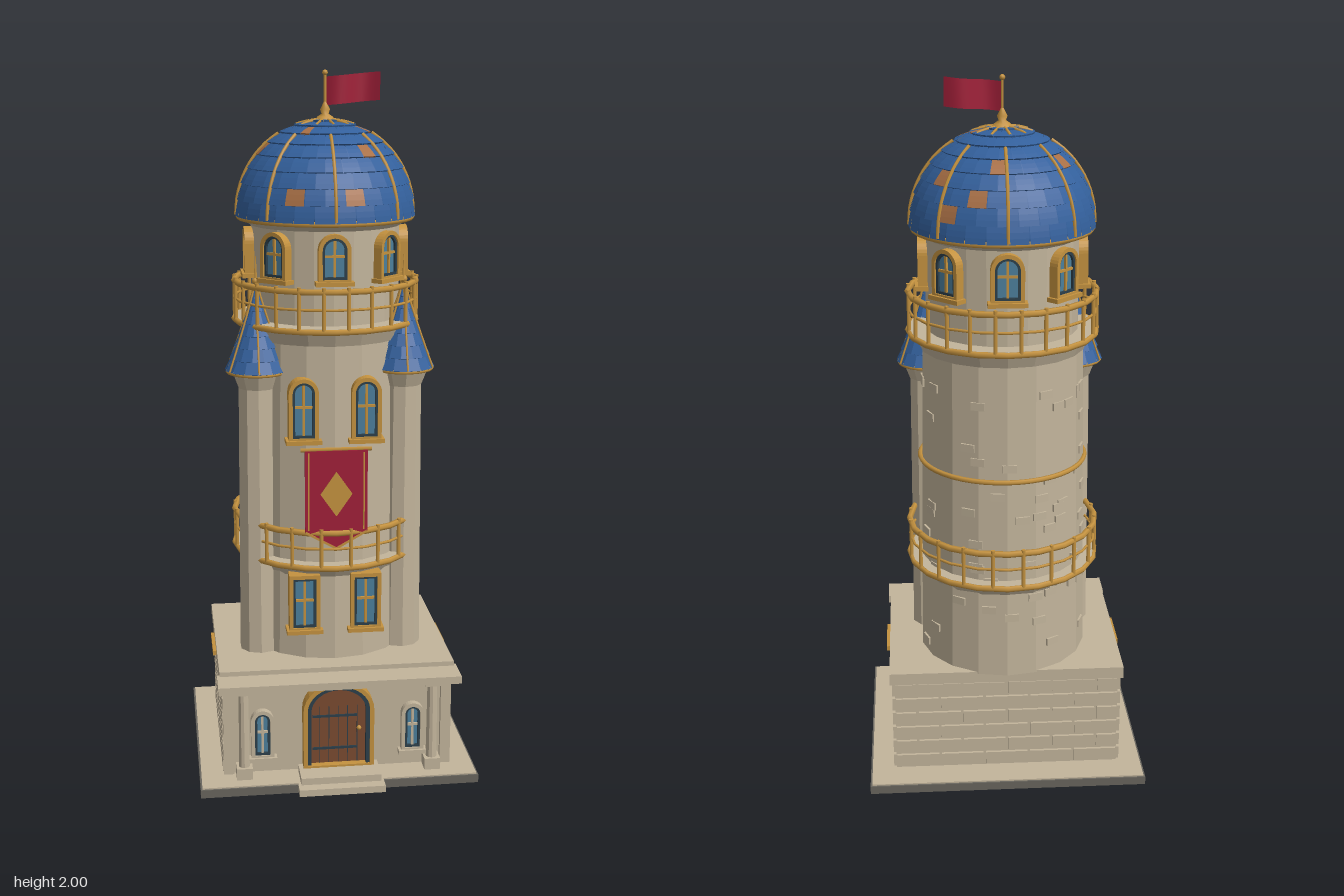
import * as THREE from 'three';
import { mergeGeometries } from 'three/addons/utils/BufferGeometryUtils.js';

const mat = (name, color, extra = {}) => Object.assign(new THREE.MeshStandardMaterial({ color, ...extra }), { name });
const CZ = -0.06; // tower axis

export function createModel() {
  const stone = mat('stone', 0xc2b49b, { flatShading: true });
  const plinthGrey = mat('plinth grey', 0x68655d);
  const blue = mat('roof blue', 0x33609c);
  const copper = mat('copper tile', 0xa86f45);
  const gold = mat('gold', 0xc4923f);
  const red = mat('banner red', 0xa01f38, { side: THREE.DoubleSide });
  const glass = mat('window glass', 0x4c7f9c);
  const dark = mat('dark frame', 0x2c3f4a);
  const wood = mat('door wood', 0x7a4a30);

  const model = new THREE.Group();
  model.name = 'tower';
  const add = (parent, name, geo, material, x = 0, y = 0, z = 0) => {
    const m = new THREE.Mesh(geo, material);
    m.name = name;
    m.position.set(x, y, z);
    parent.add(m);
    return m;
  };
  const box = (p, name, m, w, h, d, x, y, z) => add(p, name, new THREE.BoxGeometry(w, h, d), m, x, y, z);
  const cyl = (p, name, m, rTop, rBot, y0, y1, n, x = 0, z = CZ) =>
    add(p, name, new THREE.CylinderGeometry(rTop, rBot, y1 - y0, n), m, x, (y0 + y1) / 2, z);
  const ring = (p, name, r, tube, y, n = 24, arc = Math.PI * 2, start = 0) => {
    const g = new THREE.TorusGeometry(r, tube, 6, n, arc).rotateX(-Math.PI / 2).rotateY(start);
    return add(p, name, g, gold, 0, y, CZ);
  };
  const rod = (p, name, pts, r, m) =>
    add(p, name, new THREE.TubeGeometry(new THREE.CatmullRomCurve3(pts), 12, r, 5), m);
  let seed = 7;
  const rand = () => (seed = (seed * 16807) % 2147483647) / 2147483647;

  // Arched outline standing on y = 0; k is the rise of the arch
  const arch = (T, w, h, k, y0 = 0) => {
    const s = new T();
    s.moveTo(-w / 2, y0);
    s.lineTo(w / 2, y0);
    s.lineTo(w / 2, h - k);
    if (k > 0) s.absellipse(0, h - k, w / 2, k, 0, Math.PI, false);
    else s.lineTo(-w / 2, h);
    s.closePath();
    return s;
  };
  const extrude = (s, depth) => new THREE.ExtrudeGeometry(s, { depth, bevelEnabled: false, curveSegments: 8 });
  const frameGeo = (w, h, k, b, depth) => {
    const s = arch(THREE.Shape, w, h, k);
    s.holes.push(arch(THREE.Path, w - 2 * b, h - b, Math.max(0, k - b), b));
    return extrude(s, depth);
  };

  // Window: gold surround, dark inner frame, glass, glazing bars and sill
  const makeWindow = (name, w, h, k, x, y, z, turn = 0, surround = gold) => {
    const g = new THREE.Group();
    g.name = name;
    g.position.set(x, y, z);
    g.rotation.y = turn;
    add(g, 'surround', frameGeo(w, h, k, 0.011, 0.045), surround, 0, 0, -0.025);
    add(g, 'innerFrame', frameGeo(w - 0.02, h - 0.02, Math.max(0, k - 0.01), 0.008, 0.035), dark, 0, 0.01, -0.02);
    add(g, 'pane', extrude(arch(THREE.Shape, w - 0.03, h - 0.03, Math.max(0, k - 0.015)), 0.03), glass, 0, 0.015, -0.022);
    box(g, 'verticalBar', surround, 0.007, h - 0.03, 0.006, 0, h / 2, 0.011);
    box(g, 'crossBar', surround, w - 0.03, 0.007, 0.006, 0, h * 0.55, 0.011);
    box(g, 'sill', surround, w + 0.016, 0.012, 0.055, 0, 0, 0);
    model.add(g);
  };

  // Ground slab, steps and brick base
  box(model, 'slab', plinthGrey, 0.8, 0.024, 0.69, 0, 0.012, -0.02);
  box(model, 'paving', stone, 0.79, 0.006, 0.68, 0, 0.025, -0.02);
  box(model, 'lowerStep', stone, 0.246, 0.02, 0.12, 0, 0.018, 0.305);
  box(model, 'upperStep', stone, 0.23, 0.024, 0.09, 0, 0.036, 0.29);
  box(model, 'base', stone, 0.648, 0.29, 0.51, 0, 0.173, -0.019);
  const bricks = [];
  const rowH = 0.28 / 6;
  const brickRow = (len, place) => {
    for (let r = 0; r < 6; r++) {
      const step = len / 5;
      for (let i = 0; i <= 5; i++) {
        const a = Math.max(-len / 2, -len / 2 + (i - (r % 2) / 2) * step);
        const b = Math.min(len / 2, -len / 2 + (i + 1 - (r % 2) / 2) * step);
        if (b - a < 0.01) continue;
        bricks.push(place(new THREE.BoxGeometry(b - a - 0.008, rowH - 0.008, 0.016)
          .translate((a + b) / 2, 0.03 + (r + 0.5) * rowH, 0)));
      }
    }
  };
  for (const s of [-1, 1]) brickRow(0.52, g => g.rotateY(s * Math.PI / 2).translate(s * 0.324, 0, -0.02));
  brickRow(0.65, g => g.rotateY(Math.PI).translate(0, 0, -0.274));
  add(model, 'bricks', mergeGeometries(bricks), stone);
  box(model, 'baseRoof', stone, 0.676, 0.035, 0.532, 0, 0.328, -0.021);
  box(model, 'porchCornice', stone, 0.69, 0.022, 0.09, 0, 0.321, 0.277);
  for (const s of [-1, 1]) {
    box(model, 'sideTrim', gold, 0.014, 0.014, 0.14, s * 0.341, 0.322, -0.02);
    // Porch columns and windows
    cyl(model, 'porchColumn', stone, 0.014, 0.016, 0.06, 0.29, 10, s * 0.272, 0.262);
    box(model, 'columnFoot', stone, 0.046, 0.034, 0.046, s * 0.272, 0.045, 0.262);
    box(model, 'columnHead', stone, 0.046, 0.022, 0.046, s * 0.272, 0.299, 0.262);
    box(model, 'cornerPier', stone, 0.03, 0.28, 0.02, s * 0.315, 0.17, 0.24);
    makeWindow('porchWindow', 0.066, 0.15, 0.033, s * 0.218, 0.075, 0.237, 0, stone);
  }

  // Door
  add(model, 'doorSurround', frameGeo(0.204, 0.266, 0.085, 0.012, 0.05), gold, 0, 0.042, 0.225);
  add(model, 'doorFrame', frameGeo(0.182, 0.255, 0.077, 0.012, 0.045), dark, 0, 0.042, 0.225);
  add(model, 'door', extrude(arch(THREE.Shape, 0.164, 0.243, 0.068), 0.03), wood, 0, 0.044, 0.225);
  for (const x of [-0.055, -0.027, 0, 0.027, 0.055]) box(model, 'plankSeam', dark, 0.002, 0.18, 0.002, x, 0.14, 0.2552);
  for (const y of [0.1, 0.2]) box(model, 'hinge', dark, 0.13, 0.007, 0.004, -0.01, y, 0.256);
  add(model, 'doorKnob', new THREE.SphereGeometry(0.007, 8, 6), gold, 0.06, 0.16, 0.259);

  // Tower shaft with raised stones
  cyl(model, 'shaft', stone, 0.226, 0.243, 0.34, 1.3, 18);
  const stones = [];
  for (let i = 0; i < 60; i++) {
    const a = 1.7 + rand() * 2.9, y = 0.38 + rand() * 0.86;
    const r = 0.243 - (y - 0.34) * 0.0177 - 0.004;
    stones.push(new THREE.BoxGeometry(0.04, 0.022, 0.012).translate(0, y, r).rotateY(a));
  }
  add(model, 'raisedStones', mergeGeometries(stones), stone, 0, 0, CZ);
  ring(model, 'beltRing', 0.236, 0.007, 0.935, 28, Math.PI * 1.2, -Math.PI * 1.1 + Math.PI);

  // Balconies
  const balcony = (name, y, r, h, n) => {
    const g = new THREE.Group();
    g.name = name;
    model.add(g);
    cyl(g, 'corbel', stone, r - 0.015, 0.232, y - 0.045, y - 0.008, 20);
    cyl(g, 'floor', stone, r, r, y - 0.008, y + 0.008, 20);
    ring(g, 'floorEdge', r + 0.001, 0.009, y, 20);
    ring(g, 'midRail', r, 0.004, y + h * 0.55, 20);
    ring(g, 'handRail', r, 0.009, y + h, 20);
    for (let i = 0; i < n; i++) {
      const a = (i + 0.5) / n * Math.PI * 2;
      cyl(g, 'baluster', gold, 0.006, 0.006, y, y + h + 0.012, 6, r * Math.sin(a), CZ + r * Math.cos(a));
    }
  };
  balcony('lowerBalcony', 0.63, 0.27, 0.105, 20);
  balcony('upperBalcony', 1.307, 0.262, 0.11, 24);

  // Front windows and lantern windows
  for (const s of [-1, 1]) {
    makeWindow('lowerWindow', 0.088, 0.17, 0, s * 0.088, 0.435, 0.172);
    makeWindow('upperWindow', 0.084, 0.18, 0.042, s * 0.088, 0.995, 0.165);
  }
  cyl(model, 'lantern', stone, 0.212, 0.212, 1.3, 1.6, 24);
  for (let i = 0; i < 8; i++) {
    const a = i * Math.PI / 4;
    makeWindow('lanternWindow', 0.09, 0.135, 0.045, 0.213 * Math.sin(a), 1.435, CZ + 0.213 * Math.cos(a), a);
  }

  // Overlapping roof tiles along a profile t -> [radius, height]
  const tiledRoof = (name, profile, rows, n, lift, x, y, z, isCopper) => {
    const g = new THREE.Group();
    g.name = name;
    g.position.set(x, y, z);
    model.add(g);
    const inner = Array.from({ length: 25 }, (_, i) => {
      const [r, h] = profile(i / 24);
      return new THREE.Vector2(Math.max(0, r - 0.004), Math.max(0, h - 0.003));
    });
    inner.unshift(new THREE.Vector2(0, 0));
    add(g, 'underRoof', new THREE.LatheGeometry(inner, 48), blue);
    const lists = [[], []];
    for (let row = 0; row < rows; row++) for (let i = 0; i < n; i++) {
      const a0 = (i + (row % 2) / 2) / n * Math.PI * 2, a1 = a0 + 0.96 / n * Math.PI * 2;
      const at = (a, k, up) => {
        const t = (row + k) / rows, [r, h] = profile(t);
        const [ra, ha] = profile(Math.max(0, t - 0.01)), [rb, hb] = profile(Math.min(1, t + 0.01));
        const l = Math.hypot(rb - ra, hb - ha), rr = r + up * (hb - ha) / l;
        return [rr * Math.sin(a), h + up * (ra - rb) / l, rr * Math.cos(a)];
      };
      const mid = at((a0 + a1) / 2, 0.5, 0);
      const out = lists[isCopper(mid, row, (a1 - a0) / 2) ? 1 : 0];
      const quad = (p, q, r, s) => out.push(...p, ...q, ...r, ...p, ...r, ...s);
      quad(at(a0, 0, -0.003), at(a1, 0, -0.003), at(a1, 0, lift), at(a0, 0, lift));
      for (let k = 0; k < 3; k++) {
        const u = k / 3, v = (k + 1) / 3, lu = lift * (1 - u * 0.8), lv = lift * (1 - v * 0.8);
        quad(at(a0, u, lu), at(a1, u, lu), at(a1, v, lv), at(a0, v, lv));
      }
    }
    lists.forEach((list, j) => {
      if (!list.length) return;
      const geo = new THREE.BufferGeometry();
      geo.setAttribute('position', new THREE.Float32BufferAttribute(list, 3));
      geo.computeVertexNormals();
      add(g, j ? 'copperTiles' : 'blueTiles', geo, j ? copper : blue);
    });
    return g;
  };
  const ribs = (g, profile, n, t0, t1, r, turn = 0) => {
    for (let i = 0; i < n; i++) {
      const a = turn + i / n * Math.PI * 2;
      rod(g, 'rib', Array.from({ length: 7 }, (_, j) => {
        const [pr, h] = profile(t0 + (t1 - t0) * j / 6);
        return new THREE.Vector3((pr + 0.004) * Math.sin(a), h + 0.003, (pr + 0.004) * Math.cos(a));
      }), r, gold);
    }
  };

  // Main dome with ribs, crown rays and scattered copper tiles
  const dome = t => [0.25 * Math.cos(t * Math.PI / 2), 0.262 * Math.sin(t * Math.PI / 2)];
  const patches = [[0.02, -0.16], [-0.14, -0.105], [-0.175, 0.015], [0.06, -0.02], [0.1, 0.025], [-0.04, 0.08], [0.08, 0.165],
    [0.06, -0.215], [0.13, -0.2], [0.165, -0.12], [0.21, -0.1], [-0.105, 0.215], [-0.225, 0], [0.06, 0.235]];
  const domeGroup = tiledRoof('dome', dome, 9, 28, 0.006, 0, 1.6, CZ, ([x, , z], row, half) =>
    patches.some(([px, pz]) => {
      const t = Math.acos(Math.min(1, Math.hypot(px, pz) / 0.25)) / (Math.PI / 2);
      const d = Math.atan2(px, pz) - Math.atan2(x, z);
      return Math.floor(t * 9) === row && Math.cos(d) > Math.cos(half);
    }));
  ribs(domeGroup, dome, 8, 0, 0.66, 0.005);
  ribs(domeGroup, dome, 10, 0.8, 0.97, 0.004, 0.2);
  ring(model, 'eavesRing', 0.246, 0.009, 1.598, 32);
  cyl(model, 'eaves', stone, 0.24, 0.215, 1.575, 1.598, 24);

  // Finial, flagpole and waving flag
  add(model, 'finial', new THREE.LatheGeometry([[0.03, 0], [0.022, 0.012], [0.01, 0.02], [0.014, 0.032], [0.005, 0.05], [0, 0.06]]
    .map(p => new THREE.Vector2(...p)), 12), gold, 0, 1.86, CZ);
  cyl(model, 'flagpole', gold, 0.004, 0.004, 1.87, 1.99, 6);
  add(model, 'poleTip', new THREE.SphereGeometry(0.008, 8, 6), gold, 0, 1.992, CZ);
  const flag = new THREE.PlaneGeometry(0.152, 0.078, 12, 1).translate(0.079, 0, 0);
  const fp = flag.attributes.position;
  for (let i = 0; i < fp.count; i++) {
    const x = fp.getX(i);
    fp.setY(i, fp.getY(i) + x * 0.09);
    fp.setZ(i, 0.013 * Math.sin(x * 42));
  }
  flag.computeVertexNormals();
  add(model, 'flag', flag, red, 0, 1.942, CZ);

  // Side turrets with tiled cones
  const cone = t => [0.086 * (1 - t) ** 1.1 + 0.001, 0.235 * t];
  for (const s of [-1, 1]) {
    const x = s * 0.208, z = 0.06;
    cyl(model, 'turret', stone, 0.054, 0.06, 0.34, 1.14, 10, x, z);
    cyl(model, 'turretHead', stone, 0.072, 0.055, 1.13, 1.175, 10, x, z);
    const roof = tiledRoof('turretRoof', cone, 7, 14, 0.004, x, 1.18, z, () => false);
    ribs(roof, cone, 6, 0, 0.97, 0.003);
    const rim = ring(model, 'turretRim', 0.083, 0.006, 1.178, 20);
    rim.position.set(x, 1.178, z);
    cyl(model, 'turretSpike', gold, 0.001, 0.006, 1.4, 1.5, 6, x, z);
    add(model, 'turretBall', new THREE.SphereGeometry(0.011, 8, 6), gold, x, 1.43, z);
  }

  // Hanging banner with gold diamond and fringe
  const bannerShape = pts => new THREE.Shape(pts.map(p => new THREE.Vector2(...p)));
  add(model, 'banner', extrude(bannerShape([[-0.088, 0.975], [-0.088, 0.74], [0, 0.69], [0.088, 0.74], [0.088, 0.975]]), 0.008), red, 0, 0, 0.199);
  add(model, 'diamond', extrude(bannerShape([[-0.045, 0.85], [0, 0.785], [0.045, 0.85], [0, 0.915]]), 0.004), gold, 0, 0, 0.206);
  for (const s of [-1, 1]) {
    box(model, 'bannerEdge', gold, 0.004, 0.225, 0.003, s * 0.078, 0.857, 0.2075);
    const f = box(model, 'bannerFringe', gold, 0.098, 0.006, 0.004, s * 0.044, 0.715, 0.2075);
    f.rotation.z = s * 0.517;
  }
  rod(model, 'bannerRod', [new THREE.Vector3(-0.1, 0.978, 0.2), new THREE.Vector3(0.1, 0.978, 0.2)], 0.006, gold);

  return model;
}
